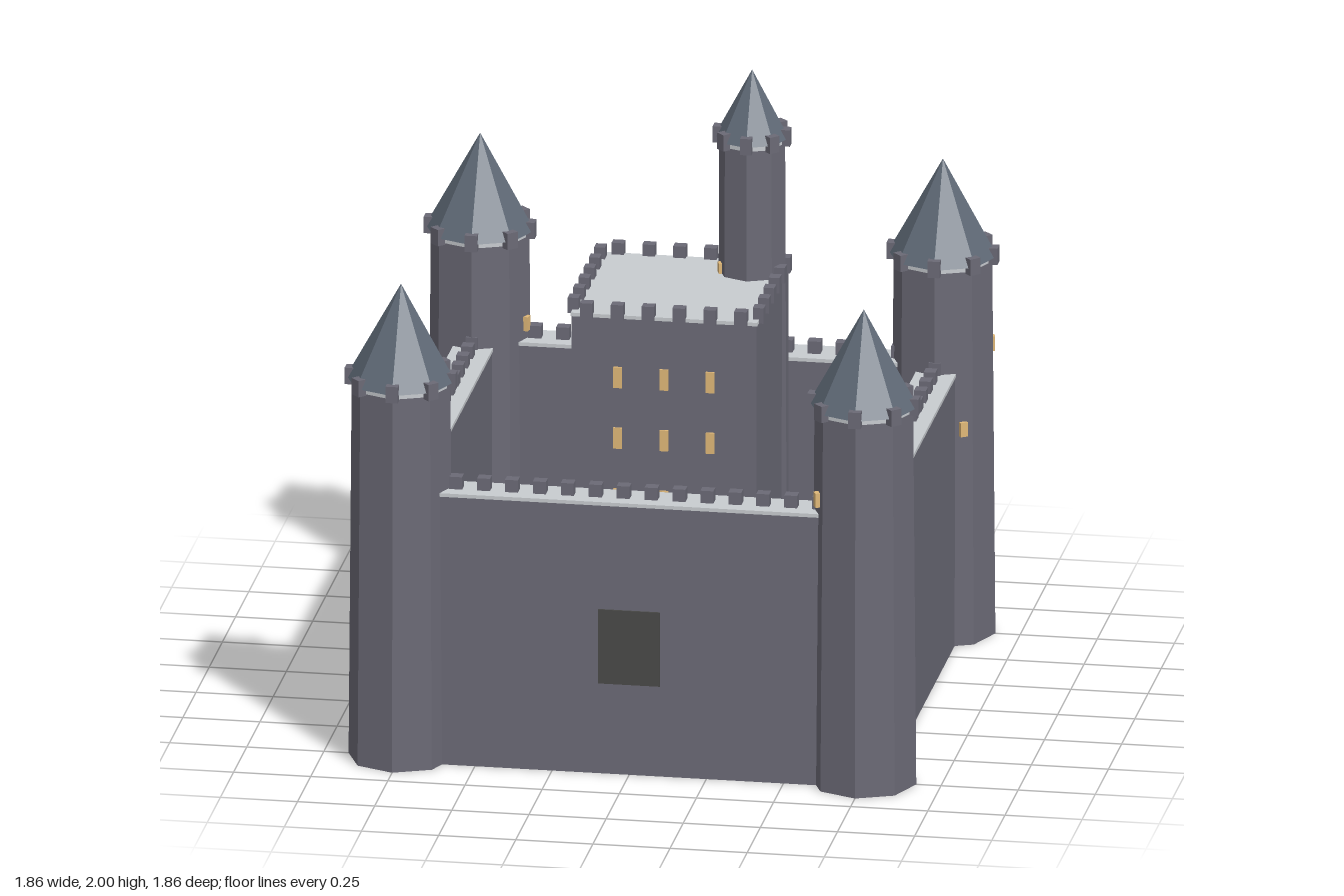
import * as THREE from 'three';

const mat = (color) => new THREE.MeshStandardMaterial({ color, flatShading: true });
const stone = mat(0x6b6a76);
const paving = mat(0xc8ccd0);
const slate = mat(0x5f6976);
const glow = mat(0xe0b878);
const iron = mat(0x4a4a48);

function add(parent, name, geometry, material, x = 0, y = 0, z = 0) {
  const mesh = new THREE.Mesh(geometry, material);
  mesh.name = name;
  mesh.position.set(x, y, z);
  parent.add(mesh);
  return mesh;
}

const box = (w, h, d) => new THREE.BoxGeometry(w, h, d);

// Eight-sided tower: tapered shaft, light cap, ring of merlons, pointed roof
function makeTower({ name, x, z, rBottom, rTop, height, roofR, apex, merlon }) {
  const tower = new THREE.Group();
  tower.name = name;
  tower.position.set(x, 0, z);
  add(tower, 'shaft', new THREE.CylinderGeometry(rTop, rBottom, height, 8), stone, 0, height / 2);
  add(tower, 'cap', new THREE.CylinderGeometry(rTop, rTop, 0.018, 8), paving, 0, height + 0.009);
  const eave = height + 0.018;
  add(tower, 'roof', new THREE.ConeGeometry(roofR, apex - eave, 8), slate, 0, (apex + eave) / 2);
  for (let i = 0; i < 8; i++) {
    const a = (i * Math.PI) / 4;
    const m = add(tower, 'merlon', box(merlon, 0.055, merlon), stone,
      Math.sin(a) * rTop, height + 0.0225, Math.cos(a) * rTop);
    m.rotation.y = a;
  }
  return tower;
}

// Small lit window on a shaft; angle is measured from +x towards +z
function addTowerWindow(tower, degrees, y, r) {
  const a = THREE.MathUtils.degToRad(degrees);
  const w = add(tower, 'window', box(0.02, 0.048, 0.025), glow, Math.cos(a) * r, y, Math.sin(a) * r);
  w.rotation.y = -a;
}

// Curtain wall with walkway and a row of merlons
function makeWall(name, x, z, turn) {
  const wall = new THREE.Group();
  wall.name = name;
  wall.position.set(x, 0, z);
  wall.rotation.y = turn;
  add(wall, 'wallBody', box(1.5, 0.905, 0.125), stone, 0, 0.4525);
  add(wall, 'walkway', box(1.4, 0.012, 0.13), paving, 0, 0.911);
  for (let i = 0; i < 14; i++) {
    add(wall, 'merlon', box(0.042, 0.045, 0.038), stone, -0.57 + i * 0.0905, 0.936);
  }
  return wall;
}

function makeKeep() {
  const keep = new THREE.Group();
  keep.name = 'keep';
  keep.position.z = -0.15;
  add(keep, 'keepBody', box(0.6, 1.308, 0.6), stone, 0, 0.654);
  add(keep, 'keepRoof', box(0.605, 0.012, 0.605), paving, 0, 1.314);
  // Merlons along all four edges
  for (let side = 0; side < 4; side++) {
    const edge = new THREE.Group();
    edge.name = 'parapet';
    edge.rotation.y = (side * Math.PI) / 2;
    for (let i = 0; i < 6; i++) {
      add(edge, 'merlon', box(0.04, 0.052, 0.035), stone, -0.25 + i * 0.1, 1.333, 0.3);
    }
    keep.add(edge);
  }
  // Front windows
  for (const y of [0.7, 0.905, 1.11]) {
    for (const x of [-0.15, 0, 0.15]) add(keep, 'window', box(0.028, 0.07, 0.012), glow, x, y, 0.301);
  }
  return keep;
}

export function createModel() {
  const castle = new THREE.Group();
  castle.name = 'castle';

  // Corner towers with their windows as [angle, height]
  const corners = [
    ['frontLeftTower', 0.75, 0.75, [[-55, 0.73], [152, 0.97]]],
    ['backLeftTower', 0.75, -0.75, [[56, 0.73], [-13, 0.97]]],
    ['frontRightTower', -0.75, 0.75, [[-135, 0.97]]],
    ['backRightTower', -0.75, -0.75, [[10, 0.97]]],
  ];
  for (const [name, x, z, windows] of corners) {
    const tower = makeTower({
      name, x, z, rBottom: 0.17, rTop: 0.16, height: 1.257, roofR: 0.177, apex: 1.595, merlon: 0.04,
    });
    for (const [deg, y] of windows) addTowerWindow(tower, deg, y, 0.156);
    castle.add(tower);
  }

  // Curtain walls
  castle.add(makeWall('frontWall', 0, 0.75, 0));
  castle.add(makeWall('backWall', 0, -0.75, 0));
  castle.add(makeWall('leftWall', 0.75, 0, Math.PI / 2));
  castle.add(makeWall('rightWall', -0.75, 0, Math.PI / 2));

  // Gate panel on the front wall
  add(castle, 'gate', box(0.2, 0.25, 0.012), iron, 0, 0.43, 0.812);

  // Keep and its turret
  castle.add(makeKeep());
  const turret = makeTower({
    name: 'turret', x: 0.2, z: -0.35, rBottom: 0.113, rTop: 0.107, height: 1.757, roofR: 0.12, apex: 2, merlon: 0.036,
  });
  addTowerWindow(turret, 160, 1.33, 0.1);
  castle.add(turret);

  return castle;
}
